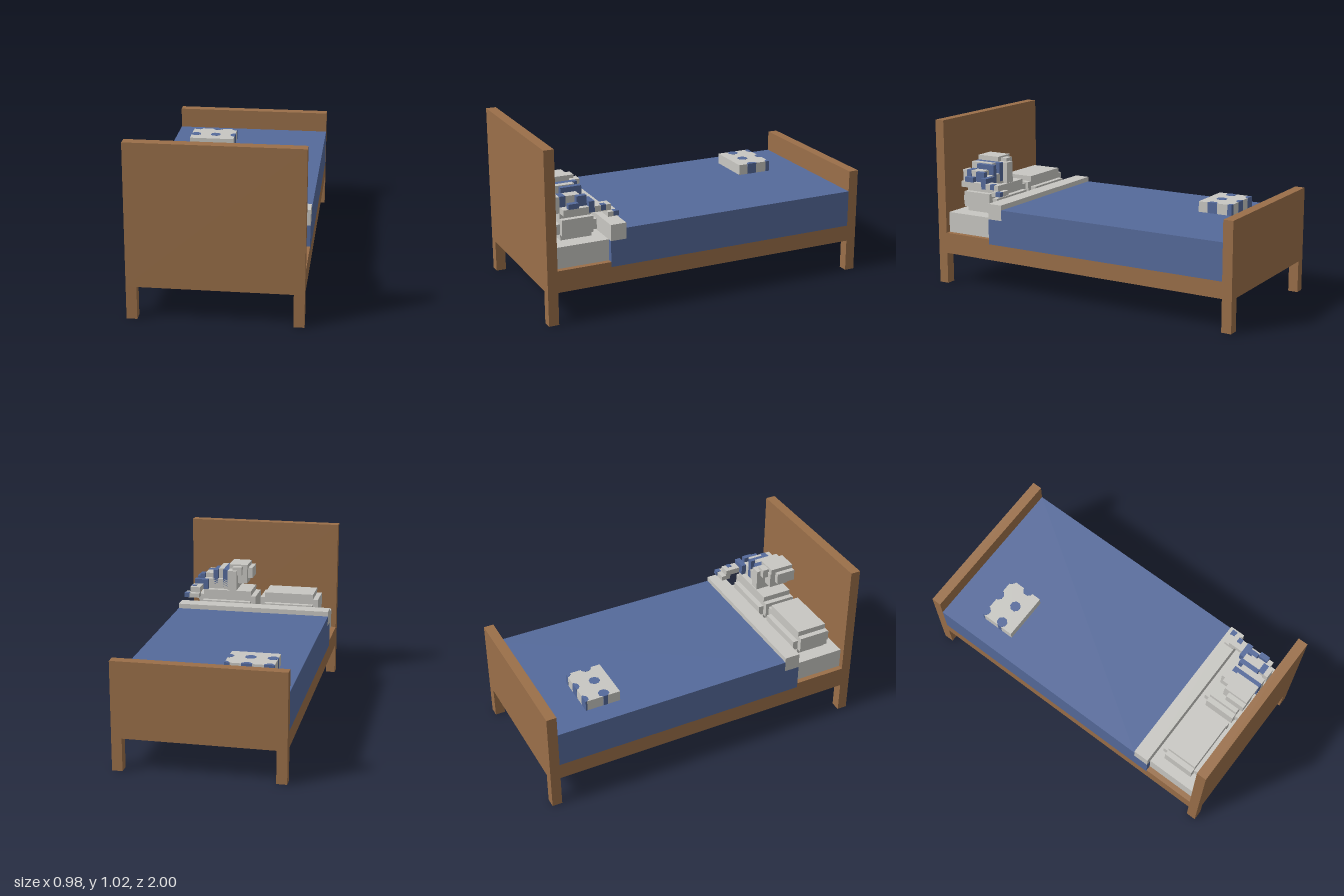
import * as THREE from 'three';

const paint = (name, color) => {
  const m = new THREE.MeshStandardMaterial({ color });
  m.name = name;
  return m;
};

export function createModel() {
  const wood = paint('wood', 0x9a6f49);
  const blue = paint('blue cloth', 0x556a9b);
  const white = paint('white cloth', 0xc8c7c2);

  const bed = new THREE.Group();
  bed.name = 'bed';

  // Box given by its limits on each axis
  const block = (parent, name, mat, x0, x1, y0, y1, z0, z1) => {
    const mesh = new THREE.Mesh(new THREE.BoxGeometry(x1 - x0, y1 - y0, z1 - z0), mat);
    mesh.position.set((x0 + x1) / 2, (y0 + y1) / 2, (z0 + z1) / 2);
    mesh.name = name;
    parent.add(mesh);
  };
  const group = (name) => {
    const g = new THREE.Group();
    g.name = name;
    bed.add(g);
    return g;
  };

  // Wooden frame
  const frame = group('frame');
  block(frame, 'headboard', wood, -0.49, 0.49, 0.192, 1.018, 0.94, 1);
  block(frame, 'footboard', wood, -0.49, 0.49, 0.192, 0.636, -1, -0.94);
  block(frame, 'base', wood, -0.49, 0.49, 0.192, 0.29, -0.94, 0.94);
  for (const s of [-1, 1]) {
    const [a, b] = s < 0 ? [-0.49, -0.43] : [0.43, 0.49];
    block(frame, 'headLeg', wood, a, b, 0, 0.192, 0.94, 1);
    block(frame, 'footLeg', wood, a, b, 0, 0.192, -1, -0.94);
    block(frame, 'sideRail', wood, s < 0 ? -0.49 : 0.458, s < 0 ? -0.458 : 0.49, 0.29, 0.32, 0.62, 0.94);
  }

  // Bedding
  const bedding = group('bedding');
  block(bedding, 'mattress', white, -0.458, 0.458, 0.29, 0.445, 0.62, 0.94);
  block(bedding, 'blanketLower', blue, -0.49, 0.49, 0.29, 0.445, -0.94, 0.62);
  block(bedding, 'blanketUpper', blue, -0.49, 0.49, 0.445, 0.51, -0.94, 0.525);
  block(bedding, 'foldedSheet', white, -0.49, 0.49, 0.445, 0.54, 0.525, 0.62);

  // Two stepped pillows
  for (const x of [-0.212, 0.2]) {
    const pillow = group('pillow');
    block(pillow, 'pillowLong', white, x - 0.158, x + 0.158, 0.48, 0.54, 0.65, 0.9);
    block(pillow, 'pillowWide', white, x - 0.19, x + 0.19, 0.478, 0.572, 0.682, 0.87);
    block(pillow, 'pillowCore', white, x - 0.158, x + 0.158, 0.445, 0.605, 0.682, 0.87);
  }

  // Cushion with spots clipped at its edges
  const cushion = group('cushion');
  const [cx0, cx1, cz0, cz1] = [-0.365, -0.083, -0.713, -0.5];
  block(cushion, 'cushionBody', white, cx0, cx1, 0.51, 0.574, cz0, cz1);
  const e = 0.001;
  for (const sz of [-0.718, -0.59]) {
    for (const sx of [-0.337, -0.209, -0.081]) {
      const pts = [];
      for (let i = 0; i < 8; i++) {
        const a = (i + 0.5) * Math.PI / 4;
        pts.push(new THREE.Vector2(
          THREE.MathUtils.clamp(sx + 0.033 * Math.cos(a), cx0 - e, cx1 + e),
          -THREE.MathUtils.clamp(sz + 0.033 * Math.sin(a), cz0 - e, cz1 + e)));
      }
      const geo = new THREE.ExtrudeGeometry(new THREE.Shape(pts), { depth: 0.065, bevelEnabled: false });
      geo.rotateX(-Math.PI / 2);
      const spot = new THREE.Mesh(geo, blue);
      spot.position.y = 0.51;
      spot.name = 'cushionSpot';
      cushion.add(spot);
    }
  }

  // Blocky soft toy on the second pillow
  const toy = group('softToy');
  const W = (name, ...b) => block(toy, name, white, ...b);
  const B = (name, ...b) => block(toy, name, blue, ...b);
  W('toyChest', 0.14, 0.36, 0.605, 0.67, 0.715, 0.87);
  W('toyFace', 0.08, 0.2, 0.64, 0.735, 0.745, 0.87);
  W('toyMuzzle', 0.05, 0.14, 0.67, 0.74, 0.78, 0.9);
  W('toyCheek', 0.14, 0.2, 0.605, 0.735, 0.685, 0.745);
  W('toyCrown', 0.078, 0.2, 0.735, 0.765, 0.75, 0.9);
  W('toyEar', 0.11, 0.17, 0.7, 0.755, 0.71, 0.76);
  B('toyCollar', 0.2, 0.235, 0.62, 0.735, 0.715, 0.9);
  W('toyBack', 0.235, 0.27, 0.605, 0.735, 0.745, 0.9);
  B('toyStripe', 0.27, 0.3, 0.605, 0.73, 0.715, 0.84);
  W('toyBelly', 0.3, 0.36, 0.605, 0.7, 0.75, 0.9);
  B('toyStripe', 0.3, 0.362, 0.64, 0.702, 0.835, 0.87);
  B('toyStripe', 0.33, 0.42, 0.605, 0.67, 0.685, 0.72);
  B('toyStripe', 0.36, 0.39, 0.635, 0.7, 0.72, 0.78);
  W('toyRump', 0.36, 0.42, 0.605, 0.64, 0.72, 0.87);
  B('toyStripe', 0.39, 0.422, 0.64, 0.67, 0.78, 0.84);
  W('toyTail', 0.362, 0.425, 0.605, 0.64, 0.59, 0.685);
  B('toyTailPatch', 0.395, 0.427, 0.61, 0.642, 0.62, 0.65);
  W('toyTailTip', 0.362, 0.455, 0.577, 0.605, 0.56, 0.62);
  B('toyTailPatch', 0.425, 0.457, 0.58, 0.607, 0.555, 0.588);

  return bed;
}
